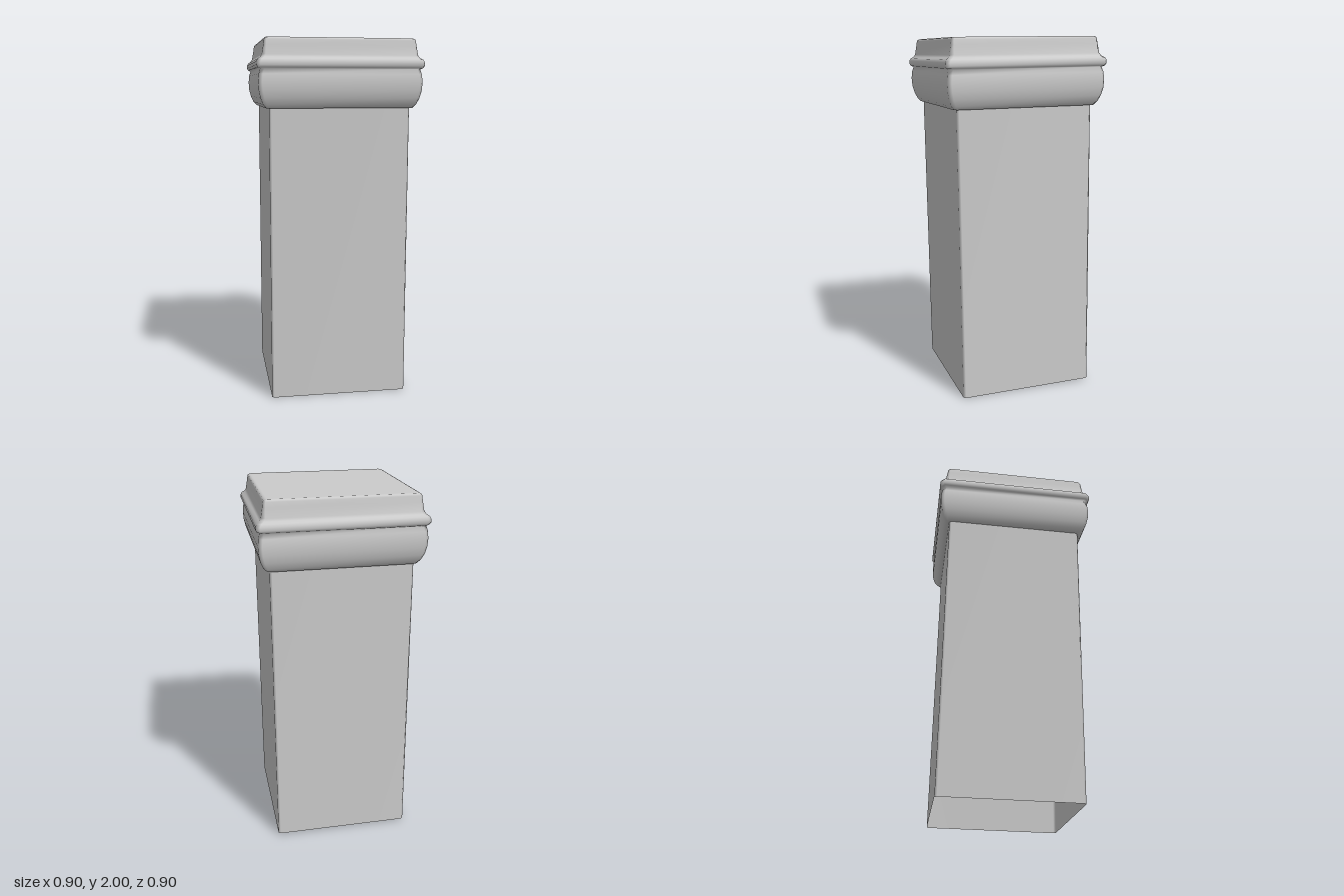
import * as THREE from 'three';

const material = new THREE.MeshStandardMaterial({ color: 0xcccccc, side: THREE.DoubleSide });

// Corners of a square with cut corners, counter-clockwise seen from above
function ring(half, y, cut) {
  const points = [];
  for (let i = 0; i < 4; i++) {
    const a = i * Math.PI / 2, c = Math.cos(a), s = Math.sin(a);
    for (const [x, z] of [[half, half - cut], [half, -half + cut]]) {
      points.push(x * c + z * s, y, -x * s + z * c);
    }
  }
  return points;
}

// Skin a list of [half width, height, corner cut] rings with smooth normals
function loft(profile, closeTop) {
  const positions = profile.flatMap(([half, y, cut]) => ring(half, y, cut));
  const index = [];
  for (let r = 0; r < profile.length - 1; r++) {
    for (let i = 0; i < 8; i++) {
      const a = r * 8 + i, b = r * 8 + (i + 1) % 8;
      index.push(a, b, b + 8, a, b + 8, a + 8);
    }
  }
  if (closeTop) {
    const t = (profile.length - 1) * 8;
    for (let i = 1; i < 7; i++) index.push(t, t + i, t + i + 1);
  }
  const geometry = new THREE.BufferGeometry();
  geometry.setAttribute('position', new THREE.Float32BufferAttribute(positions, 3));
  geometry.setIndex(index);
  geometry.computeVertexNormals();
  return geometry;
}

function part(name, geometry) {
  const mesh = new THREE.Mesh(geometry, material);
  mesh.name = name;
  mesh.position.y = -1;
  return mesh;
}

export function createModel() {
  const model = new THREE.Group();
  model.name = 'post';

  // The whole post leans very slightly forward about its middle
  const lean = new THREE.Group();
  lean.name = 'leaningPost';
  lean.position.y = 1;
  lean.rotation.x = 0.013;
  model.add(lean);

  // Hollow square shaft, open at the bottom
  lean.add(part('shaft', loft([[0.383, 0.005, 0.012], [0.383, 1.64, 0.012]], false)));

  // Rounded collar below a thin bead
  const collar = [[0.383, 1.626, 0.012], [0.398, 1.626, 0.015]];
  for (const [half, y] of [
    [0.415, 1.645], [0.43, 1.68], [0.439, 1.72], [0.442, 1.765], [0.438, 1.805], [0.43, 1.832],
    [0.443, 1.838], [0.45, 1.85], [0.45, 1.868], [0.443, 1.882], [0.428, 1.892], [0.42, 1.905],
  ]) collar.push([half, y, 0.02]);

  // Tapered slab with a softened top edge, joined to the collar
  const slab = [[0.411, 1.955, 0.014], [0.407, 1.983, 0.012], [0.403, 1.991, 0.012],
    [0.394, 1.995, 0.012], [0.385, 1.995, 0.012]];
  lean.add(part('mouldedCap', loft([...collar, ...slab], true)));

  return model;
}
